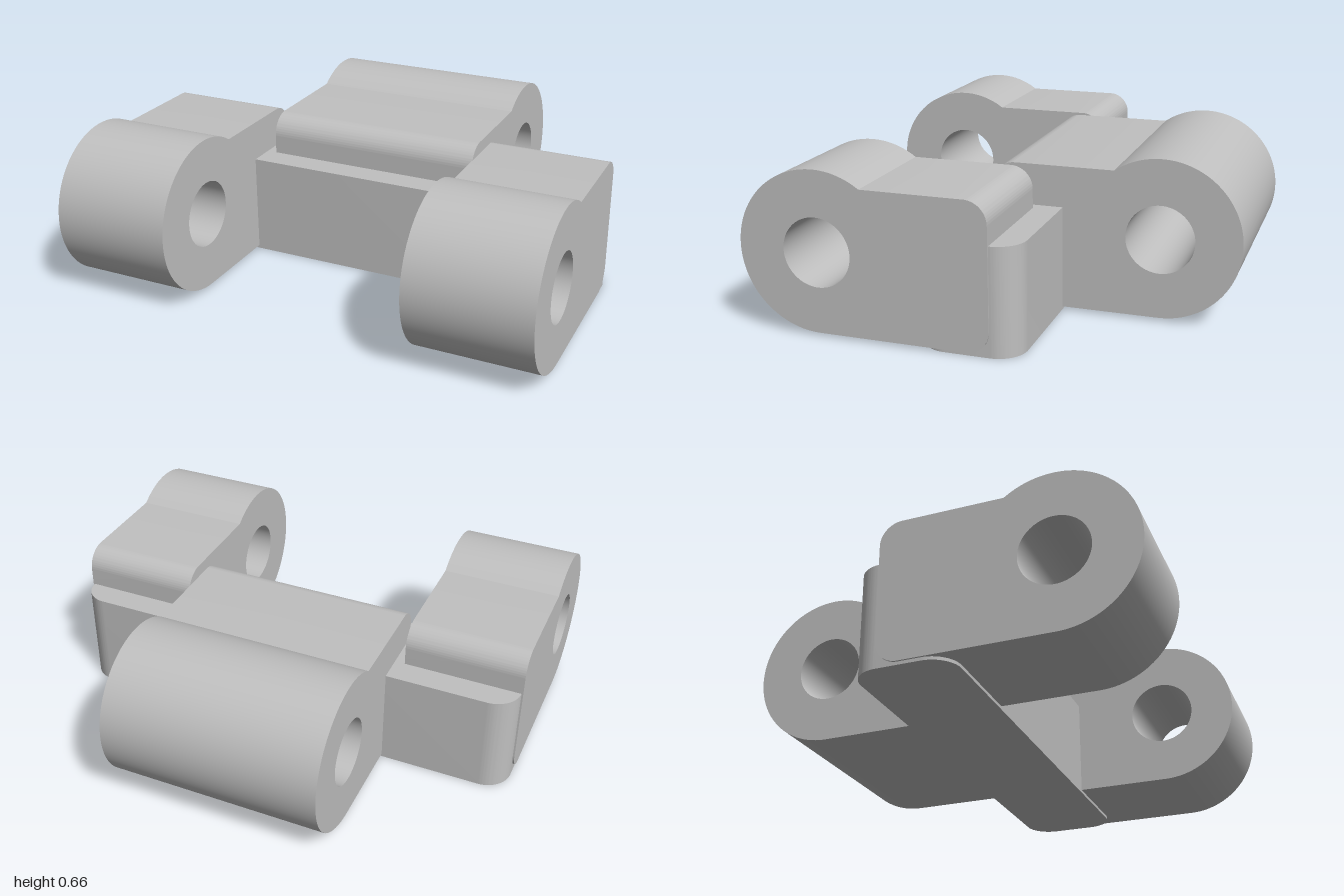
import * as THREE from 'three';
import { toCreasedNormals } from 'three/addons/utils/BufferGeometryUtils.js';

const BORE_Z = 0.593, BORE_Y = 0.335, EYE_R = 0.322, HOLE_R = 0.138;
const LUG_TOP = 0.597, LUG_END = -0.09, FILLET = 0.09;

// Lug side profile, drawn with shape x = distance along z
function lugShape() {
  const bottom = BORE_Y - EYE_R;
  const a = Math.asin((LUG_TOP - BORE_Y) / EYE_R);
  const s = new THREE.Shape();
  s.moveTo(LUG_END + FILLET, bottom);
  s.lineTo(BORE_Z, bottom);
  s.absarc(BORE_Z, BORE_Y, EYE_R, -Math.PI / 2, Math.PI - a, false);
  s.lineTo(LUG_END + FILLET, LUG_TOP);
  s.absarc(LUG_END + FILLET, LUG_TOP - FILLET, FILLET, Math.PI / 2, Math.PI, false);
  s.absarc(LUG_END + FILLET, bottom + FILLET, FILLET, Math.PI, Math.PI * 1.5, false);
  const hole = new THREE.Path();
  hole.absarc(BORE_Z, BORE_Y, HOLE_R, 0, Math.PI * 2, true);
  s.holes.push(hole);
  return s;
}

function lugGeometry(width) {
  const g = new THREE.ExtrudeGeometry(lugShape(), { depth: width, bevelEnabled: false, curveSegments: 40 });
  g.translate(0, 0, -width / 2);
  g.rotateY(-Math.PI / 2);
  return toCreasedNormals(g, 0.4);
}

// Cross bar: rounded rectangle in plan, extruded upward
function barGeometry(hx, hz, r, height) {
  const s = new THREE.Shape();
  s.absarc(hx - r, hz - r, r, 0, Math.PI / 2, false);
  s.absarc(-hx + r, hz - r, r, Math.PI / 2, Math.PI, false);
  s.absarc(-hx + r, -hz + r, r, Math.PI, Math.PI * 1.5, false);
  s.absarc(hx - r, -hz + r, r, Math.PI * 1.5, Math.PI * 2, false);
  s.closePath();
  const g = new THREE.ExtrudeGeometry(s, { depth: height, bevelEnabled: false, curveSegments: 16 });
  g.rotateX(-Math.PI / 2);
  return toCreasedNormals(g, 0.4);
}

export function createModel() {
  const group = new THREE.Group();
  group.name = 'chainLink';
  const grey = new THREE.MeshStandardMaterial({ color: 0xc0c0c0 });
  grey.name = 'grey';

  const add = (name, geometry) => {
    const mesh = new THREE.Mesh(geometry, grey);
    mesh.name = name;
    group.add(mesh);
    return mesh;
  };

  add('crossBar', barGeometry(0.993, 0.2, 0.11, 0.43));

  // Pair of front lugs
  const sideLug = lugGeometry(0.5);
  add('leftLug', sideLug).position.x = 0.75;
  add('rightLug', sideLug).position.x = -0.75;

  // Single rear lug, turned to face backward
  add('centreLug', lugGeometry(0.916)).rotation.y = Math.PI;

  return group;
}
